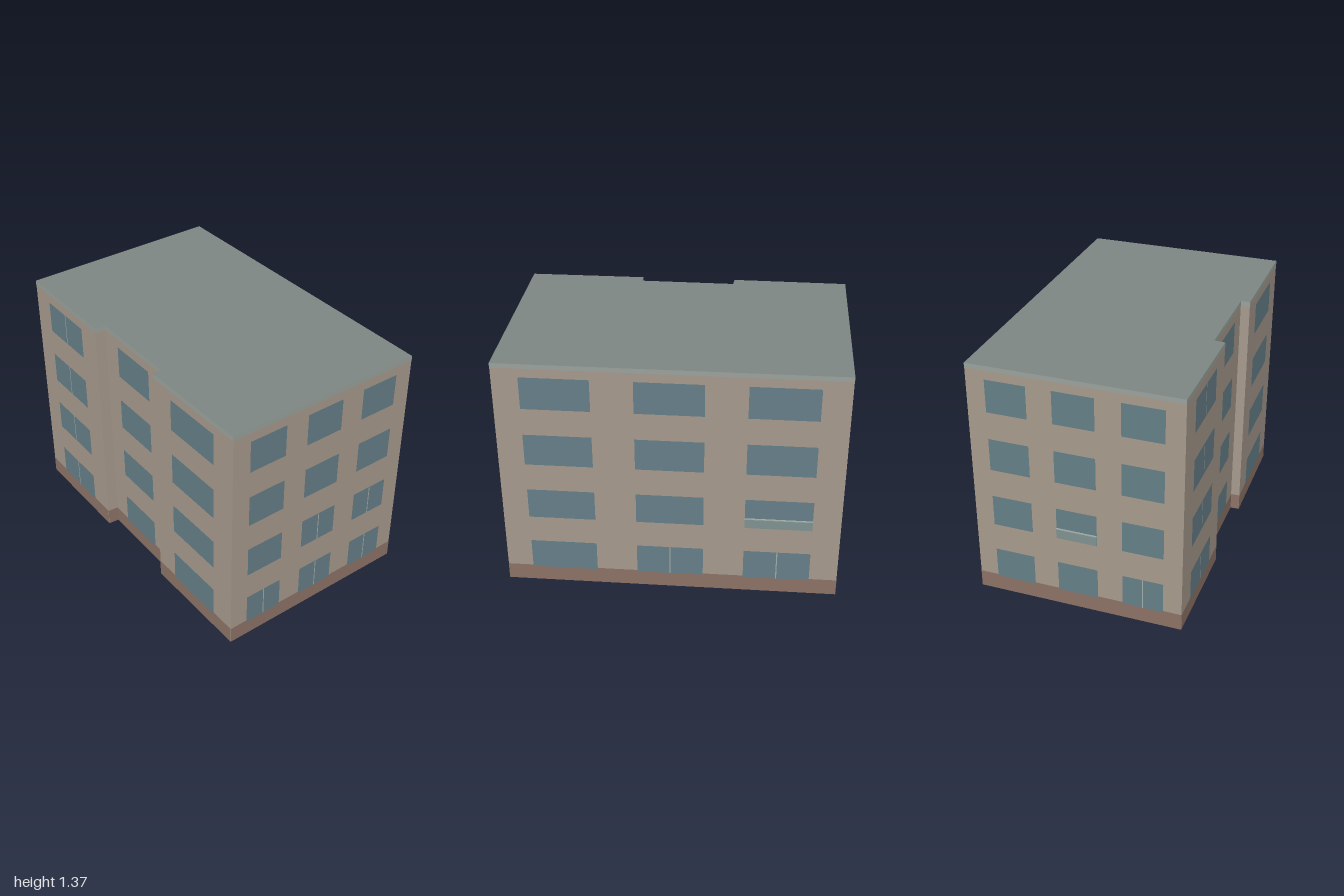
import * as THREE from 'three';

const HEIGHT = 1.37;
const FLOORS = [[0.09, 0.27], [0.43, 0.61], [0.77, 0.955], [1.11, 1.295]];

const paint = (color) => new THREE.MeshStandardMaterial({ color, side: THREE.DoubleSide });
const MAT = {
  wall: paint(0xa5998c),
  plinth: paint(0x8c7266),
  trim: paint(0x99a29c),
  roof: paint(0x7c8682),
  glass: paint(0x657e87),
  frame: paint(0xa3aca8),
  railing: paint(0x7f918f),
};

// Footprint corners [x, z], counter-clockwise from the front left corner of the plan
const PLAN = [
  [-0.415, 0.995], [0.715, 0.81], [0.41, -1.0], [-0.72, -0.81],
  [-0.62, -0.175], [-0.56, -0.18], [-0.475, 0.345], [-0.525, 0.355],
];

// Window columns as fractions of the wall length
const THREE_COLUMNS = [[0.09, 0.283], [0.402, 0.597], [0.717, 0.912]];
const WIDE_COLUMNS = [[0.077, 0.276], [0.398, 0.597], [0.718, 0.917]];
const ONE_COLUMN = [[0.225, 0.77]];

// One entry per wall; split and balcony list "floor,column" cells
const FACADES = [
  { name: 'frontWall', columns: THREE_COLUMNS, split: ['0,0', '0,1', '0,2', '1,1', '1,2'] },
  { name: 'leftWall', columns: WIDE_COLUMNS, split: ['0,1', '0,2'], balcony: '1,2' },
  { name: 'backWall', columns: THREE_COLUMNS, split: ['0,2'], balcony: '1,1' },
  { name: 'rightRearWall', columns: ONE_COLUMN, split: ['0,0', '1,0', '2,0', '3,0'] },
  { name: 'recessRearReturn' },
  { name: 'recessWall', columns: ONE_COLUMN },
  { name: 'recessFrontReturn' },
  { name: 'rightFrontWall', columns: ONE_COLUMN },
];

// Flat rectangle in the wall's own frame, lifted off the wall by depth
function panel(name, x0, x1, y0, y1, depth, material) {
  const mesh = new THREE.Mesh(new THREE.PlaneGeometry(x1 - x0, y1 - y0), material);
  mesh.position.set((x0 + x1) / 2, (y0 + y1) / 2, depth);
  mesh.name = name;
  return mesh;
}

// Thin glazed guard with a top rail in front of a window
function makeBalcony(x0, x1, y0) {
  const balcony = new THREE.Group();
  balcony.name = 'balconyRailing';
  const pane = new THREE.Mesh(new THREE.BoxGeometry(x1 - x0, 0.055, 0.003), MAT.railing);
  pane.name = 'railingPane';
  pane.position.set((x0 + x1) / 2, y0 + 0.0275, 0.007);
  const rail = new THREE.Mesh(new THREE.BoxGeometry(x1 - x0, 0.006, 0.006), MAT.frame);
  rail.name = 'handrail';
  rail.position.set((x0 + x1) / 2, y0 + 0.058, 0.007);
  balcony.add(pane, rail);
  return balcony;
}

function makeWall(a, b, { name, columns = [], split = [], balcony }) {
  const dx = b[0] - a[0], dz = b[1] - a[1];
  const length = Math.hypot(dx, dz);
  const wall = new THREE.Group();
  wall.name = name;
  wall.position.set(a[0], 0, a[1]);
  wall.rotation.y = Math.atan2(-dz, dx);

  // Wall surface with base and top bands
  wall.add(
    panel('wallSurface', 0, length, 0, HEIGHT, 0, MAT.wall),
    panel('plinth', 0, length, 0, 0.098, 0.001, MAT.plinth),
    panel('topTrim', 0, length, 1.345, HEIGHT, 0.001, MAT.trim),
  );

  // Windows, mullions and balcony
  FLOORS.forEach(([y0, y1], floor) => {
    columns.forEach(([t0, t1], column) => {
      const x0 = t0 * length, x1 = t1 * length, mid = (x0 + x1) / 2;
      const cell = `${floor},${column}`;
      wall.add(panel('window', x0, x1, y0, y1, 0.002, MAT.glass));
      if (split.includes(cell)) {
        wall.add(panel('mullion', mid - 0.003, mid + 0.003, y0, y1, 0.003, MAT.frame));
      }
      if (balcony === cell) wall.add(makeBalcony(x0, x1, y0));
    });
  });
  return wall;
}

export function createModel() {
  const building = new THREE.Group();
  building.name = 'apartmentBuilding';

  PLAN.forEach((corner, i) => {
    building.add(makeWall(corner, PLAN[(i + 1) % PLAN.length], FACADES[i]));
  });

  // Flat roof
  const outline = new THREE.Shape(PLAN.map(([x, z]) => new THREE.Vector2(x, -z)));
  const roof = new THREE.Mesh(new THREE.ShapeGeometry(outline).rotateX(-Math.PI / 2), MAT.roof);
  roof.name = 'roof';
  roof.position.y = HEIGHT;
  building.add(roof);

  return building;
}
